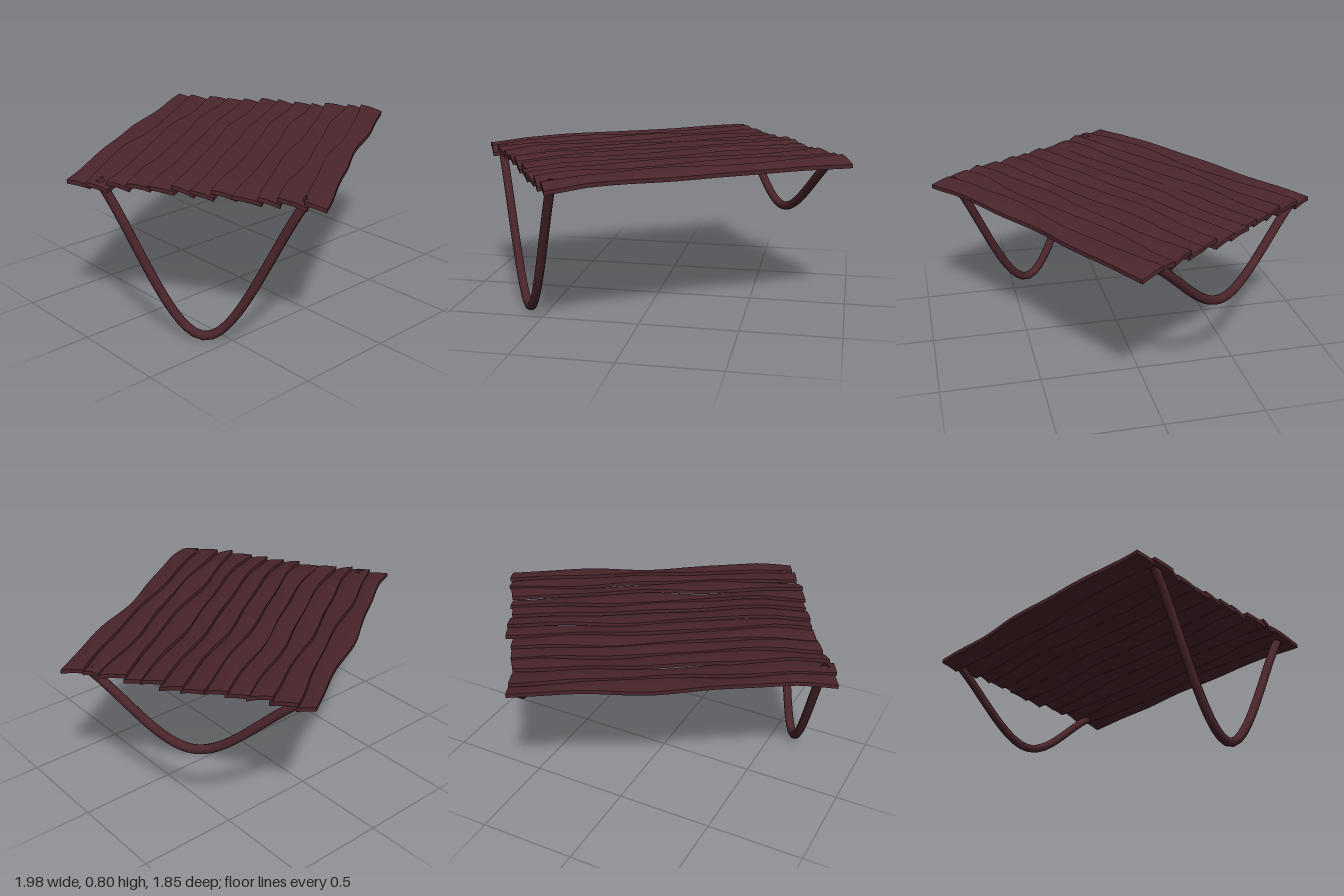
import * as THREE from 'three';

const PLANKS = 12;
// Deck frame: corner, long edge and short edge in plan (x, z)
const corner = [-0.985, -0.12], along = [1.325, -0.8], across = [0.665, 1.03];

function seeded(seed) {
  return () => {
    seed = (seed * 16807) % 2147483647;
    return seed / 2147483647;
  };
}

export function createModel() {
  const model = new THREE.Group();
  const wood = new THREE.MeshStandardMaterial({ color: 0x4a252b, roughness: 0.9 });
  const cord = new THREE.MeshStandardMaterial({ color: 0x4a252b, roughness: 0.9, side: THREE.DoubleSide });
  const rand = seeded(41);

  // Wavy seams between the planks, shared by neighbours
  const phases = Array.from({ length: PLANKS + 1 }, () => rand() * 6.28);
  const seam = (i, u) => (i + 0.11 * Math.sin(u * 9 + phases[i]) + 0.05 * Math.sin(u * 19 + 2 * phases[i])) / PLANKS;

  // Deck: tilted, slightly warped planks that overlap like shingles
  const deck = new THREE.Group();
  deck.name = 'deck';
  for (let i = 0; i < PLANKS; i++) {
    const tilt = 0.007 + 0.007 * rand();
    const lift = (rand() - 0.5) * 0.005;
    const ends = [(rand() - 0.5) * 0.024, (rand() - 0.5) * 0.024];
    const slant = (rand() - 0.5) * 0.03;
    const phase = rand() * 6.28;
    const overlap = i < PLANKS - 1 ? 0.15 : 0;

    const geo = new THREE.BoxGeometry(1, 1, 1, 24, 1, 4);
    const p = geo.attributes.position;
    for (let k = 0; k < p.count; k++) {
      const u = p.getX(k) + 0.5, s = p.getZ(k) + 0.5, h = p.getY(k);
      const a = seam(i, u), b = seam(i + 1, u);
      const v = a + (b - a) * s * (1 + overlap);
      const w = u + ends[0] * (1 - u) + ends[1] * u + slant * (s - 0.5);
      const droop = -0.016 * Math.max(0, 1 - u / 0.12);
      const warp = 0.004 * Math.sin(u * 11 + phase + s * 2);
      const ridge = tilt * (1 - 2 * s) + 0.004 * Math.sin(s * Math.PI);
      p.setXYZ(k,
        corner[0] + along[0] * w + across[0] * v,
        0.782 + lift + warp + ridge + droop + h * 0.02,
        corner[1] + along[1] * w + across[1] * v);
    }
    geo.computeVertexNormals();
    const plank = new THREE.Mesh(geo, wood);
    plank.name = 'plank' + (i + 1);
    deck.add(plank);
  }
  model.add(deck);

  // Curved bars hanging below the two short ends
  const bars = [
    ['deepCurvedLeg', [[-0.87, 0.785, -0.02], [-0.6, 0.03, 0.4], [-0.33, 0.785, 0.82]]],
    ['shallowCurvedLeg', [[0.36, 0.78, -0.82], [0.63, 0.435, -0.39], [0.9, 0.78, 0.03]]],
  ];
  for (const [name, pts] of bars) {
    const curve = new THREE.CatmullRomCurve3(pts.map(q => new THREE.Vector3(...q)), false, 'catmullrom', 0.5);
    const bar = new THREE.Mesh(new THREE.TubeGeometry(curve, 40, 0.023, 10), cord);
    bar.name = name;
    model.add(bar);
  }
  return model;
}
